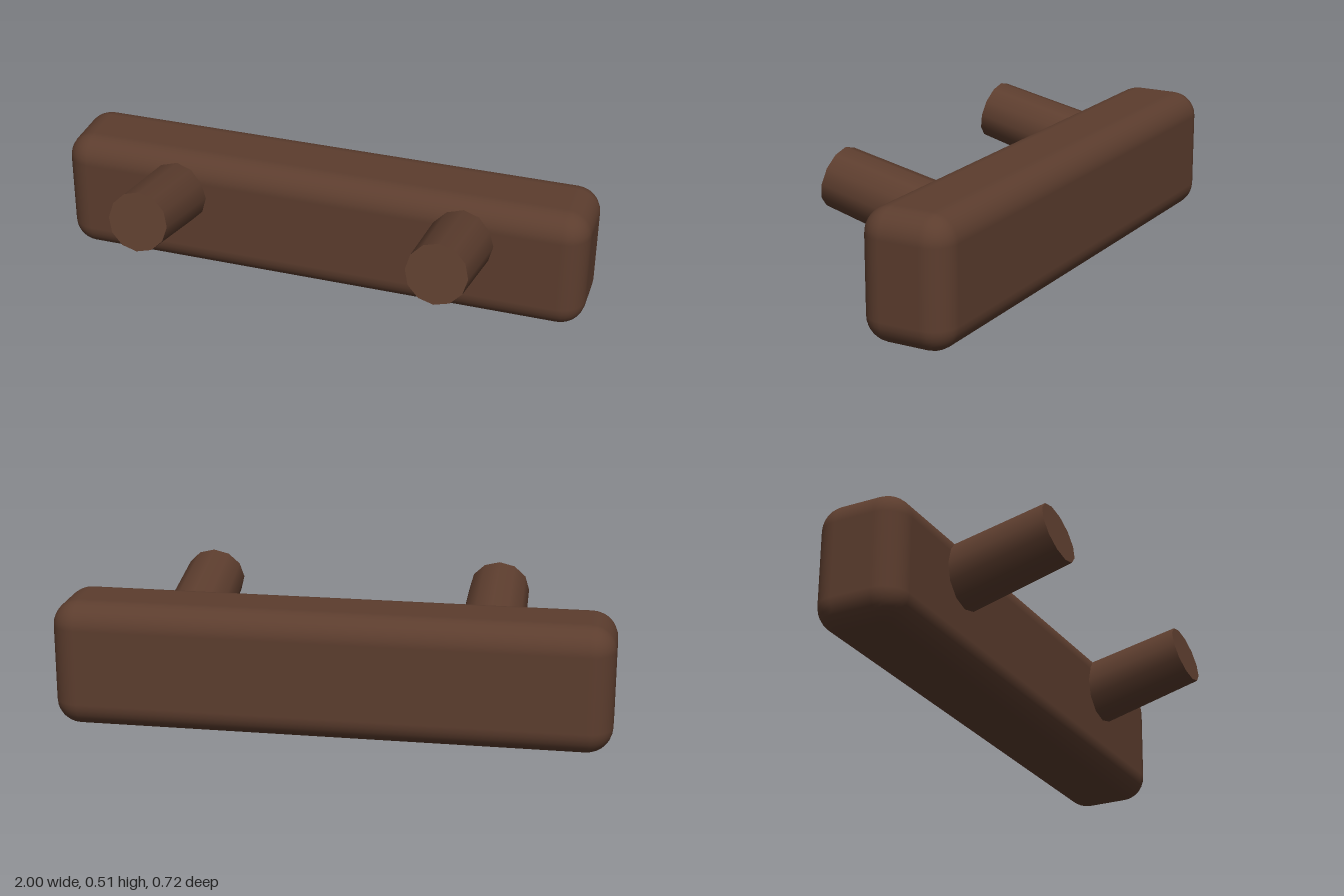
import * as THREE from 'three';
import { RoundedBoxGeometry } from 'three/addons/geometries/RoundedBoxGeometry.js';

export function createModel() {
  const model = new THREE.Group();
  model.name = 'pegRack';
  const wood = new THREE.MeshStandardMaterial({ color: 0x5c3d2e });
  wood.name = 'dark brown wood';

  // Rounded back rail
  const rail = new THREE.Mesh(new RoundedBoxGeometry(2, 0.463, 0.336, 4, 0.093), wood);
  rail.name = 'rail';
  rail.position.set(0, 0.2315, -0.191);
  model.add(rail);

  // Two slightly tapered pegs, tilted upward towards the front
  const pegGeometry = new THREE.CylinderGeometry(0.111, 0.122, 0.472, 12);
  for (const [name, side] of [['leftPeg', 1], ['rightPeg', -1]]) {
    const peg = new THREE.Mesh(pegGeometry, wood);
    peg.name = name;
    peg.position.set(side * 0.547, 0.346, 0.105);
    peg.rotation.x = THREE.MathUtils.degToRad(76.8);
    model.add(peg);
  }
  return model;
}
